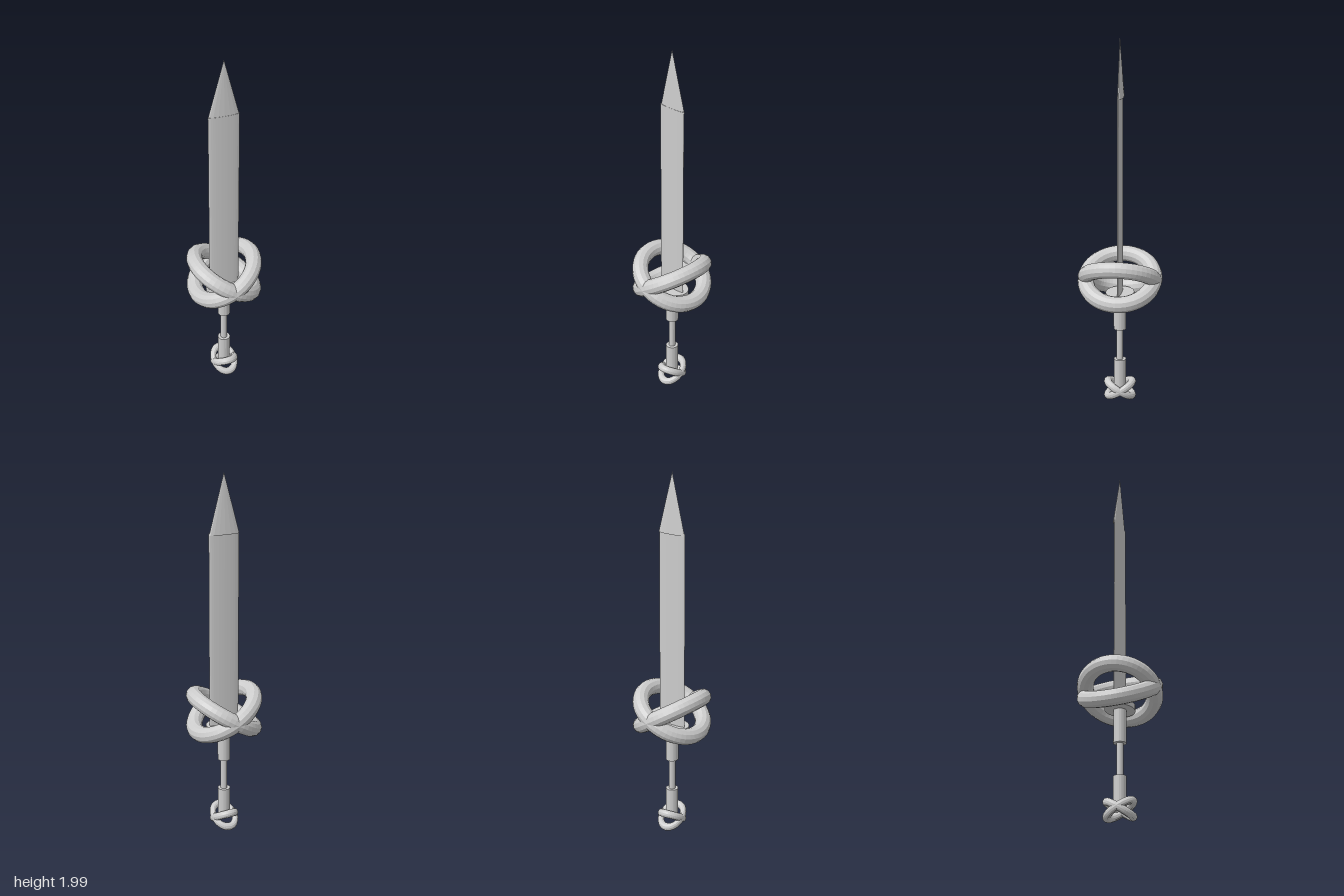
import * as THREE from 'three';

export function createModel() {
  const model = new THREE.Group();
  const steel = new THREE.MeshStandardMaterial({ color: 0xcccccc, flatShading: true });
  steel.name = 'steel';

  function add(parent, name, geometry, y = 0) {
    const mesh = new THREE.Mesh(geometry, steel);
    mesh.name = name;
    mesh.position.y = y;
    parent.add(mesh);
    return mesh;
  }

  // Upright cylinder between two heights
  function rod(name, radius, bottom, top, sides = 24) {
    return add(model, name, new THREE.CylinderGeometry(radius, radius, top - bottom, sides), (top + bottom) / 2);
  }

  // Two rings crossing along the z axis, tilted in opposite directions
  function crossedRings(name, ringRadius, tubeRadius, tilt) {
    const group = new THREE.Group();
    group.name = name;
    for (const side of [-1, 1]) {
      const ring = new THREE.TorusGeometry(ringRadius, tubeRadius, 12, 48)
        .rotateX(Math.PI / 2).rotateZ(side * tilt);
      add(group, name + 'Ring', ring);
    }
    model.add(group);
    return group;
  }

  // Blade: a flattened cylinder with a slightly leaning flattened cone on top
  rod('blade', 0.083, 0.6, 1.69, 32).scale.z = 0.14;
  const tip = new THREE.ConeGeometry(0.083, 0.32, 16);
  tip.scale(1, 1, 0.19).rotateX(0.015);
  add(model, 'bladeTip', tip, 1.84).position.z = -0.002;

  // Oval collar under the blade
  rod('collar', 0.1, 0.595, 0.625, 32).scale.z = 0.77;

  // Stepped handle
  rod('upperGrip', 0.034, 0.415, 0.6);
  rod('middleGrip', 0.018, 0.235, 0.42);
  rod('lowerGrip', 0.034, 0.08, 0.24);

  // Guard
  crossedRings('guard', 0.184, 0.044, 0.545).position.y = 0.7;

  // Pommel: small narrowed rings crossing along the x axis
  const pommel = crossedRings('pommel', 0.078, 0.021, 0.54);
  pommel.position.y = 0.068;
  pommel.rotation.y = Math.PI / 2 + 0.13;
  pommel.scale.z = 0.77;

  return model;
}
